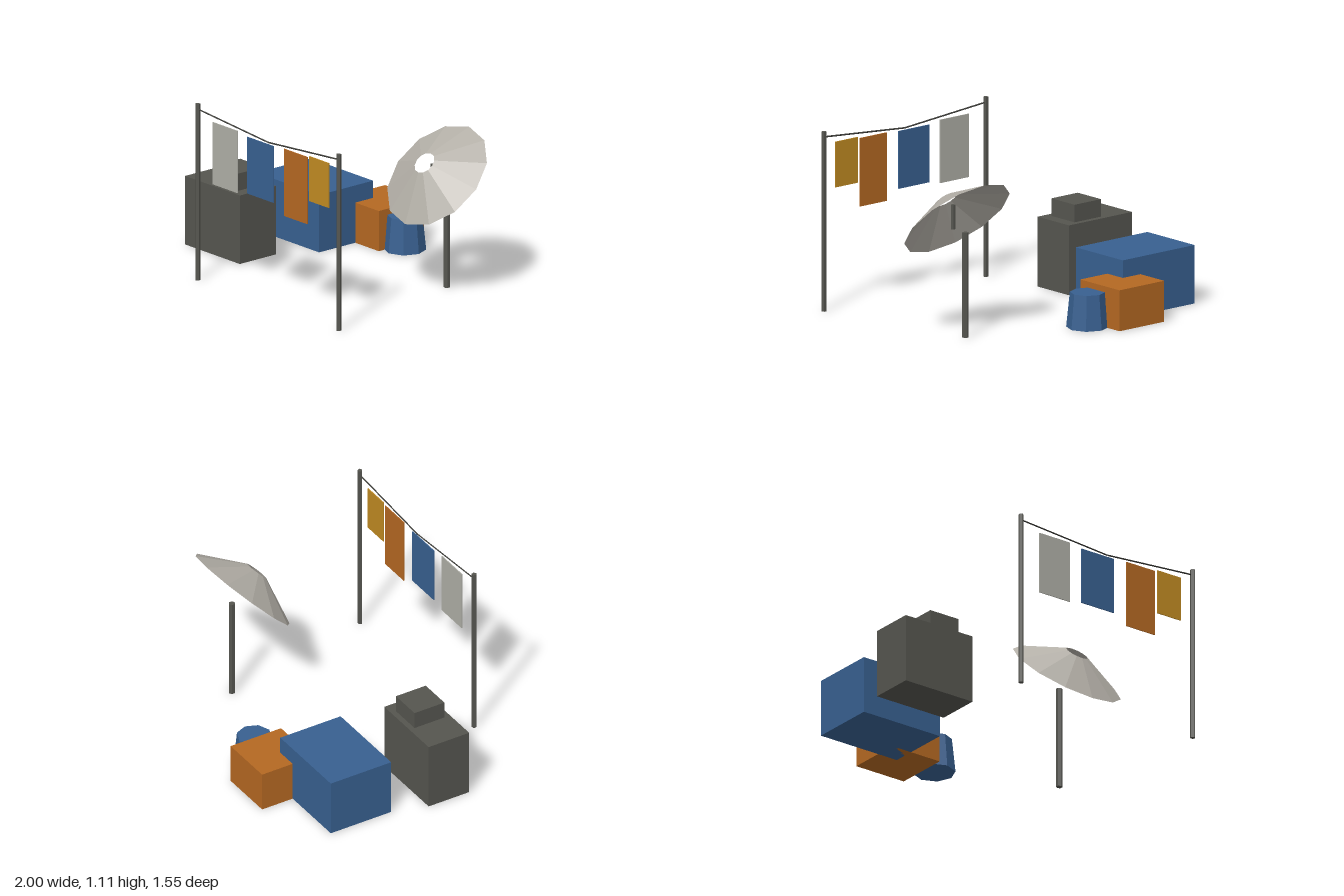
import * as THREE from 'three';

const mat = (name, color, side = THREE.FrontSide) =>
  Object.assign(new THREE.MeshStandardMaterial({ color, side, flatShading: true }), { name });

export function createModel() {
  const model = new THREE.Group();
  model.name = 'rooftopClutter';

  const darkGrey = mat('darkGrey', 0x55554f);
  const blue = mat('blue', 0x386090);
  const orange = mat('orange', 0xb46822);
  const ochre = mat('ochre', 0xc08a22);
  const linen = mat('linen', 0xaeaea6);
  const dishGrey = mat('dishGrey', 0xb4b0a8, THREE.DoubleSide);
  const ropeDark = mat('ropeDark', 0x3a3a36);

  const add = (name, geometry, material, x, y, z) => {
    const mesh = new THREE.Mesh(geometry, material);
    mesh.name = name;
    mesh.position.set(x, y, z);
    model.add(mesh);
    return mesh;
  };

  // Box given by its extents
  const box = (name, material, [x0, x1], [y0, y1], [z0, z1]) =>
    add(name, new THREE.BoxGeometry(x1 - x0, y1 - y0, z1 - z0), material,
      (x0 + x1) / 2, (y0 + y1) / 2, (z0 + z1) / 2);

  // Upright post from y0 to y1
  const post = (name, material, x, z, y0, y1, rTop, rBottom, sides) =>
    add(name, new THREE.CylinderGeometry(rTop, rBottom, y1 - y0, sides), material, x, (y0 + y1) / 2, z);

  // Ventilation unit and its cap
  box('ventUnit', darkGrey, [-1, -0.5], [0, 0.43], [0.085, 0.37]);
  box('ventCap', darkGrey, [-0.785, -0.575], [0.43, 0.538], [0.12, 0.33]);

  // Crates and upturned bucket
  box('blueCrate', blue, [-0.93, -0.36], [0, 0.36], [-0.56, -0.135]);
  box('orangeCrate', orange, [-0.5, -0.145], [0, 0.252], [-0.775, -0.42]);
  post('bucket', blue, -0.075, -0.565, 0, 0.215, 0.106, 0.128, 8);

  // Clothesline: two poles and a rope sagging in the middle
  const lineZ = 0.76;
  const poleX = [-0.432, 0.855];
  const sag = new THREE.Vector3(0.212, 1.022, lineZ);
  for (const x of poleX) {
    post('linePole', darkGrey, x, lineZ, 0, 1.107, 0.016, 0.016, 5);
    const end = new THREE.Vector3(x, 1.073, lineZ);
    const span = new THREE.LineCurve3(end, sag);
    add('rope', new THREE.TubeGeometry(span, 1, 0.005, 4), ropeDark, 0, 0, 0);
  }

  // Hanging laundry
  const laundry = [
    [linen, [-0.295, -0.068], [0.635, 1.025]],
    [blue, [0.02, 0.262], [0.655, 1.01]],
    [orange, [0.357, 0.57], [0.597, 1.018]],
    [ochre, [0.588, 0.765], [0.747, 1.028]],
  ];
  for (const [material, xs, ys] of laundry) {
    box('cloth', material, xs, ys, [lineZ - 0.003, lineZ + 0.003]);
  }

  // Dish: open faceted cone tilted up to the front, with mast and receiver stub
  post('dishMast', darkGrey, 0.642, -0.275, 0, 0.645, 0.0205, 0.0205, 6);
  post('dishStub', darkGrey, 0.642, -0.165, 0.645, 0.795, 0.0145, 0.0145, 5);
  const dish = add('dish', new THREE.CylinderGeometry(0.07, 0.357, 0.141, 12, 1, true),
    dishGrey, 0.642, 0.766, -0.15);
  dish.rotation.x = Math.PI / 4;

  return model;
}
